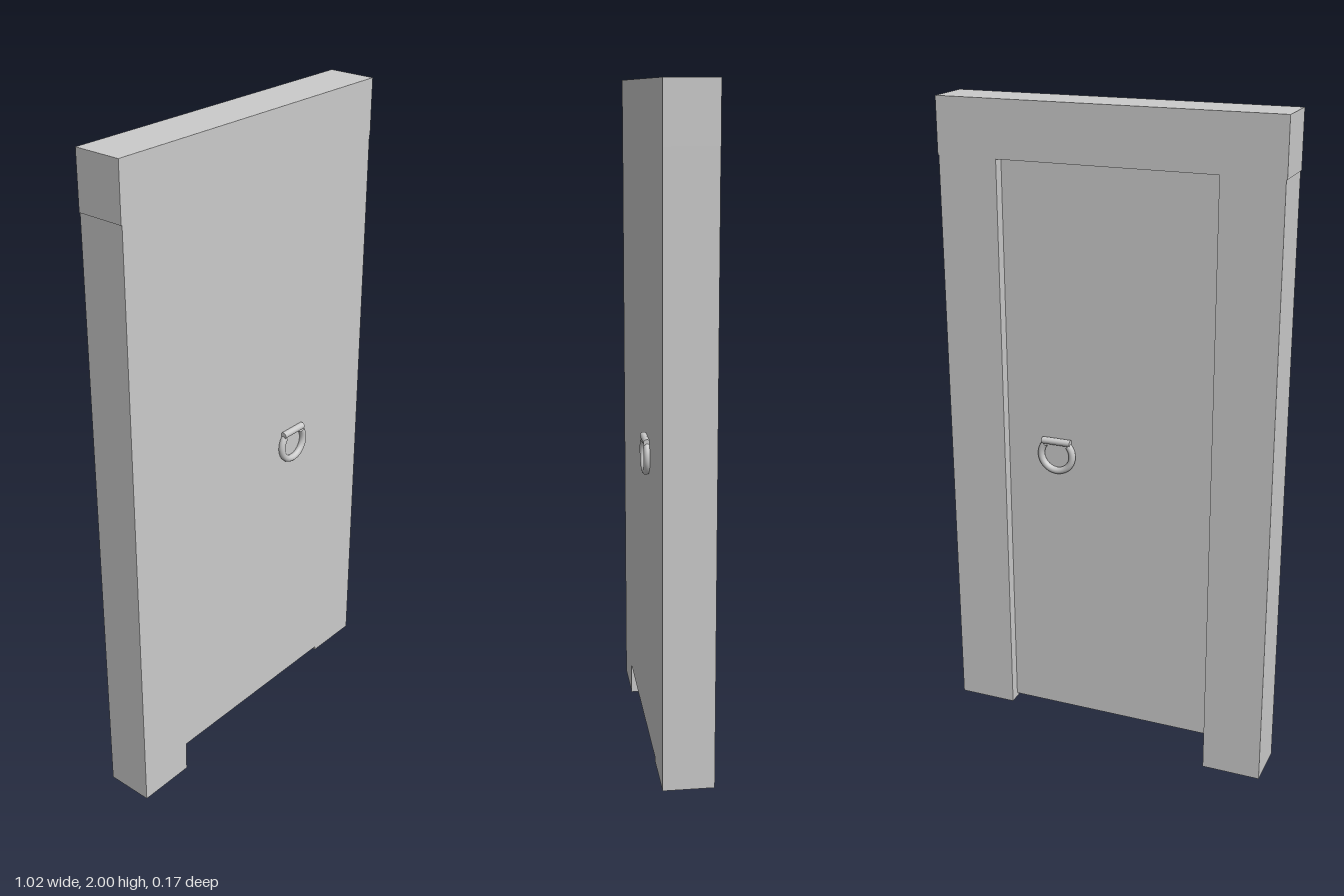
import * as THREE from 'three';

const material = new THREE.MeshStandardMaterial({ color: 0xcccccc });
const DEPTH = 0.146;
const HALF = DEPTH / 2;

// Box given by its limits on each axis
function box(name, x0, x1, y0, y1, z0, z1) {
  const mesh = new THREE.Mesh(new THREE.BoxGeometry(x1 - x0, y1 - y0, z1 - z0), material);
  mesh.position.set((x0 + x1) / 2, (y0 + y1) / 2, (z0 + z1) / 2);
  mesh.name = name;
  return mesh;
}

// D-shaped pull: a short bar with an open ring hanging from it
function createHandle(name) {
  const handle = new THREE.Group();
  handle.name = name;
  const tube = 0.0105;
  const gap = 0.85; // half of the opening at the top of the ring

  const ring = new THREE.Mesh(
    new THREE.TorusGeometry(0.05, tube, 12, 40, Math.PI * 2 - gap * 2), material);
  ring.rotation.z = Math.PI / 2 + gap;
  ring.name = 'handleRing';

  const bar = new THREE.Mesh(new THREE.CylinderGeometry(tube, tube, 0.09, 16), material);
  bar.rotation.z = Math.PI / 2;
  bar.position.y = 0.042;
  bar.name = 'handleBar';

  handle.add(ring, bar);
  return handle;
}

export function createModel() {
  const door = new THREE.Group();
  door.name = 'door';

  // Frame: one post reaches lower than the other
  door.add(
    box('rightPost', -0.505, -0.325, 0, 1.835, -HALF, HALF),
    box('leftPost', 0.325, 0.503, 0.085, 1.835, -HALF, HALF),
    box('lintel', -0.508, 0.506, 1.835, 2, -HALF, HALF));

  // Panel: flush at the front, recessed at the back
  const panelBack = -0.04;
  door.add(box('panel', -0.325, 0.325, 0.097, 1.835, panelBack, HALF));

  // A handle on each face
  const front = createHandle('frontHandle');
  front.position.set(0.166, 0.963, HALF + 0.007);
  const back = createHandle('backHandle');
  back.position.set(0.166, 0.963, panelBack - 0.007);
  back.rotation.y = Math.PI;
  door.add(front, back);

  // The whole door stands slightly turned
  door.rotation.y = 0.013;
  door.position.z = -0.0065;

  const model = new THREE.Group();
  model.name = 'doorModel';
  model.add(door);
  return model;
}
